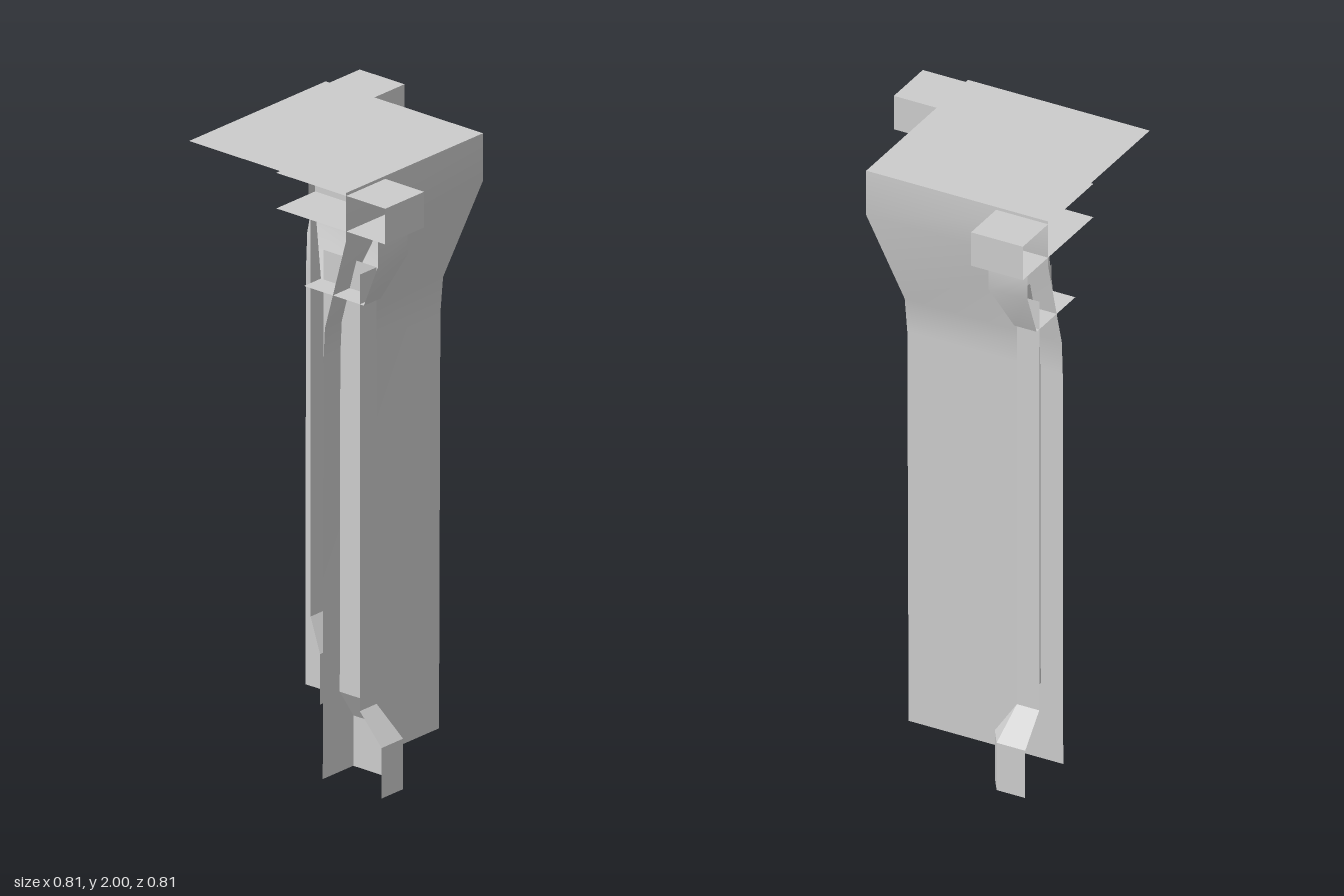
import * as THREE from 'three';

const material = new THREE.MeshStandardMaterial({ color: 0xcccccc, side: THREE.DoubleSide });
const END = -0.405; // open cut plane on the -x and -z sides

// Open wall through stacked plan outlines: rings = [[y, [[x, z], ...]], ...].
// Each facet is smooth vertically, with sharp edges between facets.
function wall(name, rings, swapped = false) {
  const outlines = rings.map(([y, pts]) => {
    const ring = pts.map(([x, z]) => (swapped ? [z, y, x] : [x, y, z]));
    return swapped ? ring.reverse() : ring;
  });
  const positions = [], index = [];
  for (let i = 0; i < outlines[0].length - 1; i++) {
    const start = positions.length / 3;
    outlines.forEach((ring, j) => {
      positions.push(...ring[i], ...ring[i + 1]);
      if (j === 0) return;
      const a = start + 2 * (j - 1);
      index.push(a, a + 1, a + 3, a, a + 3, a + 2);
    });
  }
  const geometry = new THREE.BufferGeometry();
  geometry.setAttribute('position', new THREE.Float32BufferAttribute(positions, 3));
  geometry.setIndex(index);
  geometry.computeVertexNormals();
  const mesh = new THREE.Mesh(geometry, material);
  mesh.name = name;
  return mesh;
}

// Horizontal rectangle facing up or down
function sheet(name, y, x0, x1, z0, z1, up, swapped = false) {
  if (swapped) [x0, x1, z0, z1] = [z0, z1, x0, x1];
  const geometry = new THREE.PlaneGeometry(x1 - x0, z1 - z0);
  geometry.rotateX(up ? -Math.PI / 2 : Math.PI / 2);
  geometry.translate((x0 + x1) / 2, y, (z0 + z1) / 2);
  const mesh = new THREE.Mesh(geometry, material);
  mesh.name = name;
  return mesh;
}

// Half-column outline: front face, then the side running back into the core
const outline = (side, front, back) => [[END, front], [side, front], [side, back]];

function halfColumn(name, swapped) {
  const column = new THREE.Group();
  column.name = name;

  // Chamfered base tapering to the square shaft
  const foot = [[END, 0.39], [-0.303, 0.39], [-0.26, 0.325], [-0.26, 0.05]];
  const neck = [[END, 0.3], [-0.325, 0.3], [-0.325, 0.3], [-0.325, 0.08]];
  column.add(wall('baseBlock', [[0, foot], [0.17, foot]], swapped));
  column.add(wall('baseTaper', [[0.17, foot], [0.27, neck]], swapped));

  // Shaft, its top hidden inside the capital
  const shaft = outline(-0.325, 0.3, 0.08);
  column.add(wall('shaft', [[0.27, shaft], [1.74, shaft]], swapped));

  // Flared capital
  const flare = outline(-0.265, 0.375, 0);
  column.add(wall('capital', [
    [1.64, outline(-0.325, 0.317, 0.07)], [1.785, flare], [1.87, flare],
  ], swapped));
  column.add(sheet('capitalUnderside', 1.64, END, -0.325, 0.07, 0.317, false, swapped));

  // Square cap block
  const cap = outline(-0.22, 0.405, -0.045);
  column.add(wall('capSides', [[1.87, cap], [1.99, cap]], swapped));
  column.add(sheet('capUnderside', 1.87, END, -0.22, -0.045, 0.405, false, swapped));
  column.add(sheet('capTop', 1.99, END, -0.22, -0.045, 0.405, true, swapped));
  return column;
}

export function createModel() {
  const model = new THREE.Group();
  model.name = 'pillarCorner';

  // Core walls, flaring outward near the top
  const profile = [[0, 0.147], [1.4, 0.15], [1.52, 0.156], [1.84, 0.244], [2, 0.244]];
  model.add(wall('coreWalls', profile.map(([y, d]) => [y, [[END, d], [d, d], [d, END]]])));
  model.add(sheet('coreTop', 2, END, 0.244, END, 0.244, true));

  // One half column against each core wall, mirrored across the diagonal
  model.add(halfColumn('frontColumn', false), halfColumn('sideColumn', true));
  return model;
}
